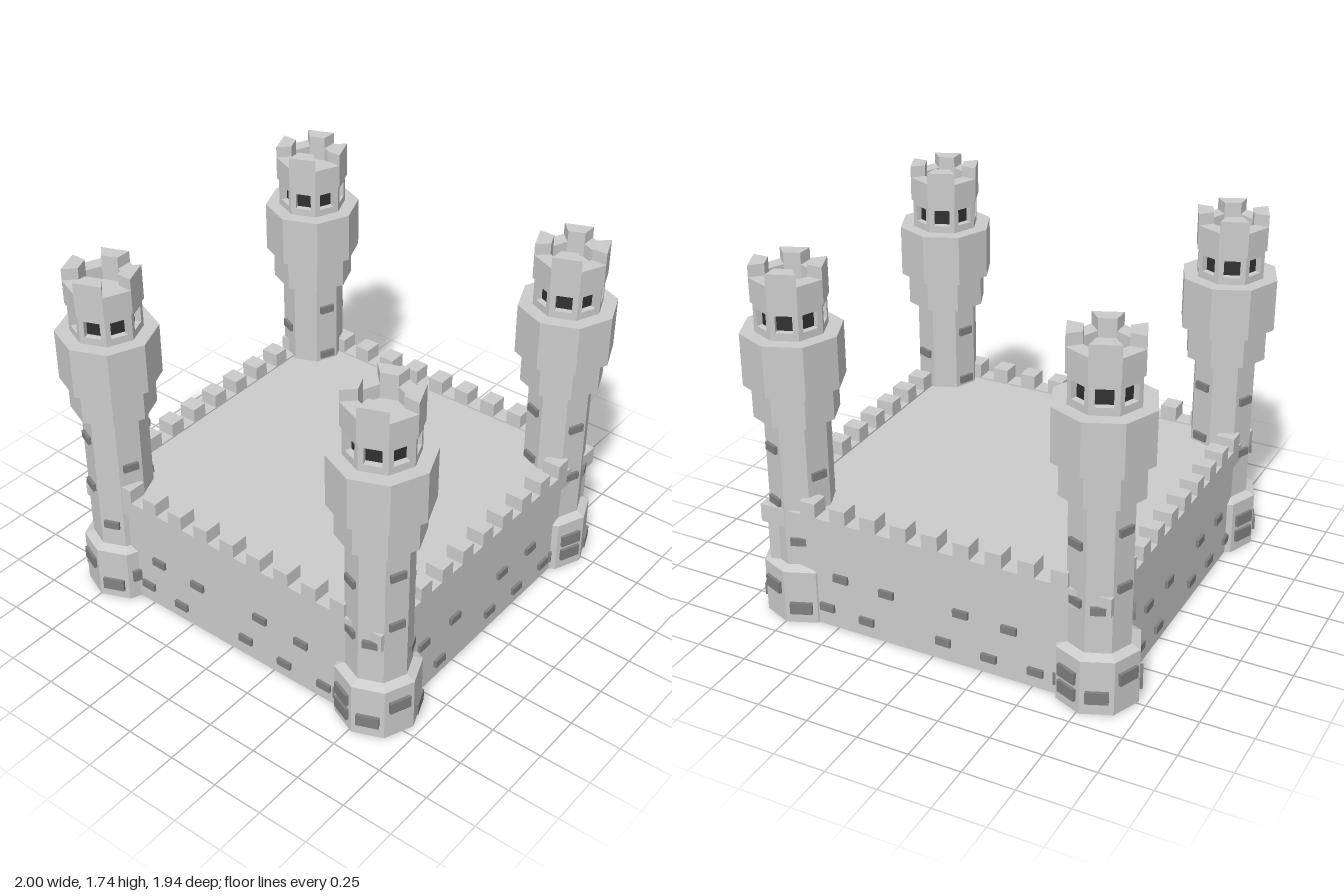
import * as THREE from 'three';

const stone = new THREE.MeshStandardMaterial({ color: 0xcccccc, flatShading: true });
const brickMat = new THREE.MeshStandardMaterial({ color: 0x808080, flatShading: true });
const darkMat = new THREE.MeshStandardMaterial({ color: 0x303030, flatShading: true });
const STEP = Math.PI / 4;
const APOTHEM = Math.cos(Math.PI / 8);

function add(parent, name, geometry, material = stone, x = 0, y = 0, z = 0) {
  const mesh = new THREE.Mesh(geometry, material);
  mesh.name = name;
  mesh.position.set(x, y, z);
  parent.add(mesh);
  return mesh;
}

// Box given by its limits
function slab(parent, name, x0, x1, y0, y1, z0, z1) {
  return add(parent, name, new THREE.BoxGeometry(x1 - x0, y1 - y0, z1 - z0), stone,
    (x0 + x1) / 2, (y0 + y1) / 2, (z0 + z1) / 2);
}

// Put a mesh on octagon face k, at a distance from the tower axis
function placeOnFace(mesh, k, distance, y) {
  const a = (k + 0.5) * STEP;
  mesh.position.set(Math.cos(a) * distance, y, Math.sin(a) * distance);
  mesh.rotation.y = Math.PI / 2 - a;
}

// One eighth of an octagonal ring
function ringEighth(k, rIn, rOut, height) {
  const corner = (r, i) => new THREE.Vector2(r * Math.cos(i * STEP), -r * Math.sin(i * STEP));
  const shape = new THREE.Shape([corner(rIn, k), corner(rOut, k), corner(rOut, k + 1), corner(rIn, k + 1)]);
  return new THREE.ExtrudeGeometry(shape, { depth: height, bevelEnabled: false }).rotateX(-Math.PI / 2);
}

// Wall panel with a square window
function windowPanel(r, height) {
  const w = r * Math.sin(Math.PI / 8);
  const shape = new THREE.Shape([[-w, 0], [w, 0], [w, height], [-w, height]].map(p => new THREE.Vector2(...p)));
  const hole = [[-0.038, 0.035], [-0.038, 0.115], [0.038, 0.115], [0.038, 0.035]];
  shape.holes.push(new THREE.Path(hole.map(p => new THREE.Vector2(...p))));
  return new THREE.ExtrudeGeometry(shape, { depth: 0.03, bevelEnabled: false });
}

// Brick heights on the eight faces of a tower
const shaftBricks = [[0.75], [0.42], [0.88, 0.61], [0.51], [0.81, 0.53], [0.42], [0.88, 0.61], [0.51]];
const baseBricks = [[0.14], [0.085], [0.18], [0.095], [0.175, 0.09], [0.085], [0.18], [0.09]];

function createTower() {
  const tower = new THREE.Group();
  tower.name = 'tower';

  // Base, shaft and the two wider storeys
  const profile = [[0, 0.004], [0.196, 0.004], [0.196, 0.275], [0.152, 0.295], [0.152, 1.02], [0.197, 1.02],
    [0.197, 1.18], [0.2326, 1.18], [0.2326, 1.43], [0, 1.43]].map(p => new THREE.Vector2(...p));
  add(tower, 'towerBody', new THREE.LatheGeometry(profile, 8));

  // Lookout room with a window on each face
  const r = 0.164;
  add(tower, 'lookoutDarkness', new THREE.CylinderGeometry(0.125, 0.125, 0.14, 8), darkMat, 0, 1.5, 0);
  const panel = windowPanel(r, 0.14);
  for (let k = 0; k < 8; k++) {
    placeOnFace(add(tower, 'windowPanel', panel), k, r * APOTHEM - 0.03, 1.43);
  }

  // Crown: a ring with alternating gaps and merlons around a sunken floor
  add(tower, 'crownFloor', new THREE.CylinderGeometry(0.174, 0.174, 0.05, 8), stone, 0, 1.595, 0);
  for (let k = 0; k < 8; k++) {
    const top = k % 2 ? 1.74 : 1.685;
    add(tower, k % 2 ? 'crownMerlon' : 'crownGap', ringEighth(k, 0.1, 0.174, top - 1.62), stone, 0, 1.62, 0);
  }

  // Protruding bricks
  const smallBrick = new THREE.BoxGeometry(0.075, 0.038, 0.03);
  const largeBrick = new THREE.BoxGeometry(0.105, 0.06, 0.03);
  for (let k = 0; k < 8; k++) {
    for (const y of shaftBricks[k]) placeOnFace(add(tower, 'shaftBrick', smallBrick, brickMat), k, 0.152 * APOTHEM, y);
    for (const y of baseBricks[k]) placeOnFace(add(tower, 'baseBrick', largeBrick, brickMat), k, 0.196 * APOTHEM, y);
  }
  return tower;
}

export function createModel() {
  const castle = new THREE.Group();
  castle.name = 'castle';

  // Limits of the walls
  const X0 = -0.877, X1 = 0.874, Z0 = -0.872, Z1 = 0.834;
  const inset = 0.02, thick = 0.09;

  // Keep block, its foot plate and the overhanging parapet
  slab(castle, 'footPlate', -0.66, 0.65, 0, 0.01, -0.68, 0.63);
  slab(castle, 'keep', X0 + inset, X1 - inset, 0.005, 0.49, Z0 + inset, Z1 - inset);
  slab(castle, 'roof', X0, X1, 0.49, 0.572, Z0, Z1);
  slab(castle, 'parapetFront', X0, X1, 0.572, 0.58, Z1 - thick, Z1);
  slab(castle, 'parapetBack', X0, X1, 0.572, 0.58, Z0, Z0 + thick);
  slab(castle, 'parapetRight', X0, X0 + thick, 0.572, 0.58, Z0 + thick, Z1 - thick);
  slab(castle, 'parapetLeft', X1 - thick, X1, 0.572, 0.58, Z0 + thick, Z1 - thick);

  // Merlons along the four walls
  const m = 0.04;
  for (let k = -1; k <= 7; k++) {
    const d = 0.157 * k;
    const [front, back, left, right] = [-0.463 + d, -0.479 + d, -0.433 + d, -0.497 + d];
    slab(castle, 'merlon', front - m, front + m, 0.58, 0.65, Z1 - thick, Z1);
    slab(castle, 'merlon', back - m, back + m, 0.58, 0.65, Z0, Z0 + thick);
    slab(castle, 'merlon', X1 - thick, X1, 0.58, 0.65, left - m, left + m);
    slab(castle, 'merlon', X0, X0 + thick, 0.58, 0.65, right - m, right + m);
  }

  // Protruding bricks, one pattern turned onto each wall
  const pattern = [[-0.44, 0.28], [-0.2, 0.27], [0.18, 0.28], [0.42, 0.27],
    [-0.52, 0.105], [-0.31, 0.09], [0.09, 0.105], [0.32, 0.09], [0.55, 0.09]];
  const brick = new THREE.BoxGeometry(0.075, 0.038, 0.03);
  const walls = [[Z1, 0], [X1, -0.055], [-Z0, -0.03], [-X0, 0.02]];
  walls.forEach(([distance, shift], i) => {
    const bricks = new THREE.Group();
    bricks.name = 'wallBricks';
    for (const [u, y] of pattern) add(bricks, 'wallBrick', brick, brickMat, u + shift, y, distance - inset);
    bricks.rotation.y = i * Math.PI / 2;
    castle.add(bricks);
  });

  // Corner towers, each a quarter turn on from the last
  const corners = [[-0.746, 0.73], [0.767, 0.703], [0.743, -0.722], [-0.767, -0.74]];
  corners.forEach(([x, z], i) => {
    const tower = createTower();
    tower.position.set(x, 0, z);
    tower.rotation.y = i * Math.PI / 2;
    castle.add(tower);
  });
  return castle;
}
